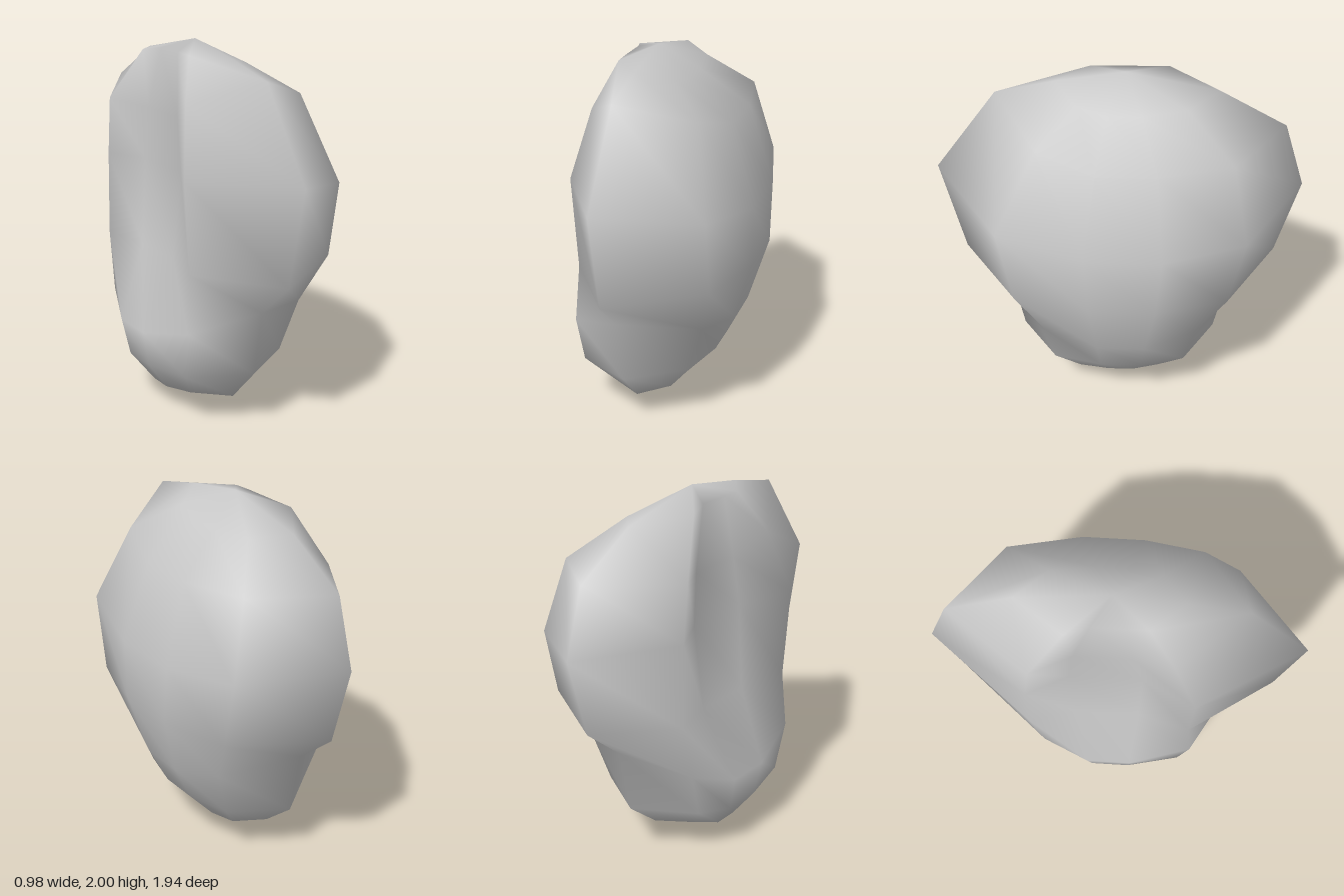
import * as THREE from 'three';

// Horizontal rings, top to bottom. Ridges are [z, y], sides [x, y], hollow rims [x, z].
const RINGS = [
  { front: [0.33, 1.94], back: [-0.51, 1.90], dome: [0.11, 1.86], hollow: [-0.24, 1.95], rimFront: [-0.24, 0.16], rimBack: [-0.28, -0.25] },
  { front: [0.64, 1.87], back: [-0.86, 1.70], dome: [0.36, 1.66], hollow: [-0.27, 1.62], rimFront: [-0.34, 0.29], rimBack: [-0.39, -0.43] },
  { front: [0.97, 1.41], back: [-0.97, 1.34], dome: [0.49, 1.23], hollow: [-0.28, 1.34], rimFront: [-0.42, 0.41], rimBack: [-0.39, -0.46] },
  { front: [0.85, 0.88], back: [-0.85, 0.90], dome: [0.49, 0.90], hollow: [-0.32, 0.87], rimFront: [-0.39, 0.40], rimBack: [-0.39, -0.47] },
  { front: [0.62, 0.68], back: [-0.62, 0.70], dome: [0.39, 0.56], hollow: [-0.49, 0.48], rimFront: [-0.41, 0.42], rimBack: [-0.40, -0.40] },
  { front: [0.55, 0.32], back: [-0.54, 0.33], dome: [0.28, 0.34], hollow: [-0.45, 0.28], rimFront: [-0.39, 0.36], rimBack: [-0.37, -0.31] },
  { front: [0.35, 0.12], back: [-0.34, 0.16], dome: [0.10, 0.14], hollow: [-0.33, 0.12], rimFront: [-0.26, 0.19], rimBack: [-0.25, -0.18] },
];
const RIDGE_X = -0.09;
const mix = THREE.MathUtils.lerp;

// Ten corners around one ring, starting at the front ridge and going to +x
function ringPoints({ front: [fz, fy], back: [bz, by], dome: [rx, ry], hollow: [lx, ly], rimFront, rimBack }) {
  const shoulderX = mix(RIDGE_X, rx, 0.81);
  return [
    [RIDGE_X, fy, fz],
    [shoulderX, mix(fy, ry, 0.6), fz * 0.64],
    [rx, ry, fz * 0.17],
    [rx, ry, bz * 0.24],
    [shoulderX, mix(by, ry, 0.6), bz * 0.68],
    [RIDGE_X, by, bz],
    [rimBack[0], mix(by, ly, 0.6), rimBack[1]],
    [lx, ly, bz * 0.25],
    [lx, ly, fz * 0.14],
    [rimFront[0], mix(fy, ly, 0.6), rimFront[1]],
  ];
}

function stoneGeometry() {
  const n = 10;
  const points = [[RIDGE_X, 2, -0.03], ...RINGS.flatMap(ringPoints), [RIDGE_X, 0, -0.03]];
  const last = points.length - 1;
  const index = [];
  for (let j = 0; j < n; j++) {
    const k = (j + 1) % n;
    index.push(0, 1 + j, 1 + k);
    for (let r = 0; r < RINGS.length - 1; r++) {
      const a = 1 + r * n, b = a + n;
      index.push(a + j, b + j, b + k, a + j, b + k, a + k);
    }
    const a = 1 + (RINGS.length - 1) * n;
    index.push(a + j, last, a + k);
  }
  const geometry = new THREE.BufferGeometry();
  geometry.setAttribute('position', new THREE.Float32BufferAttribute(points.flat(), 3));
  geometry.setIndex(index);
  geometry.computeVertexNormals();
  return geometry;
}

export function createModel() {
  const group = new THREE.Group();
  group.name = 'rock';
  const stone = new THREE.MeshStandardMaterial({ color: 0xc8c8c8 });
  stone.name = 'stone grey';
  const mesh = new THREE.Mesh(stoneGeometry(), stone);
  mesh.name = 'stone';
  group.add(mesh);
  return group;
}
